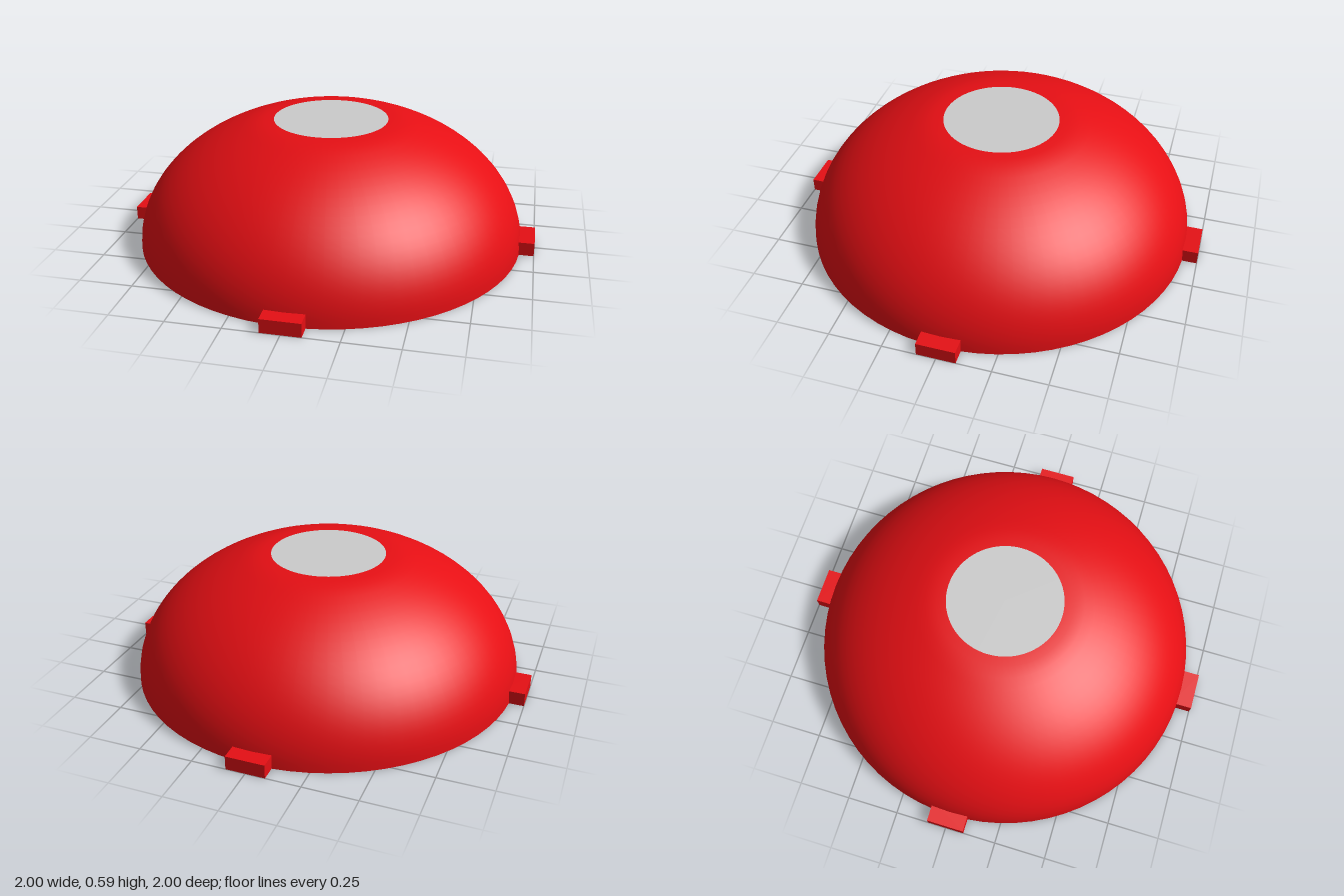
import * as THREE from 'three';

const R = 0.935, B = 0.63;          // dome ellipse half-axes
const DEPTH = 0.12;                 // depth of the recesses underneath
const TOP = 0.59, LENS_R = 0.274;

const domeRadius = (y) => R * Math.sqrt(1 - (y / B) ** 2);

// Points on an arc around the centre
function arc(r, from, to, n = 14) {
  return Array.from({ length: n + 1 }, (_, i) => {
    const a = from + (to - from) * i / n;
    return new THREE.Vector2(r * Math.cos(a), r * Math.sin(a));
  });
}

// Curved slot between two radii
function slot(r0, r1, mid, half) {
  return new THREE.Path([...arc(r0, mid - half, mid + half), ...arc(r1, mid + half, mid - half)]);
}

export function createModel() {
  const model = new THREE.Group();
  const red = new THREE.MeshStandardMaterial({ color: 0xe60f14 });
  const redShell = new THREE.MeshStandardMaterial({ color: 0xe60f14, side: THREE.DoubleSide });
  const grey = new THREE.MeshStandardMaterial({ color: 0xcccccc });

  const add = (name, geometry, material) => {
    const mesh = new THREE.Mesh(geometry, material);
    mesh.name = name;
    model.add(mesh);
    return mesh;
  };

  // Dome shell: elliptical side, softened shoulder, flat top
  const profile = [];
  const end = Math.acos(0.37 / R);
  for (let i = 0; i <= 20; i++) {
    const t = end * i / 20;
    profile.push(new THREE.Vector2(R * Math.cos(t), B * Math.sin(t)));
  }
  profile.push(new THREE.Vector2(0.32, 0.587), new THREE.Vector2(LENS_R, TOP));
  add('dome', new THREE.LatheGeometry(profile, 72), redShell);

  // Grey lens disc set flush in the top
  add('lens', new THREE.CircleGeometry(LENS_R, 72).rotateX(-Math.PI / 2).translate(0, TOP, 0), grey);

  // Base plate: four ribs reaching the rim, with wide pockets between them
  const ribHalf = THREE.MathUtils.degToRad(18);
  const slotHalf = THREE.MathUtils.degToRad(12);
  const outline = [], holes = [];
  for (let i = 0; i < 4; i++) {
    const a = i * Math.PI / 2, diagonal = a + Math.PI / 4;
    outline.push(...arc(R, a - ribHalf, a + ribHalf));
    outline.push(...arc(0.605, a + ribHalf, a + Math.PI / 2 - ribHalf));
    holes.push(slot(0.78, 0.82, a, slotHalf));                            // outer rib slots
    holes.push(slot(0.44, 0.475, a, slotHalf));                           // inner rib slots
    holes.push(slot(0.32, 0.38, diagonal, THREE.MathUtils.degToRad(33))); // ring slots
  }
  holes.push(new THREE.Path(arc(0.185, 0, Math.PI * 2, 48).slice(0, -1))); // centre hole
  const shape = new THREE.Shape(outline);
  shape.holes = holes;
  const plate = new THREE.ExtrudeGeometry(shape, { depth: DEPTH, bevelEnabled: false });
  plate.rotateX(-Math.PI / 2);

  // Lean the rib ends inward so they follow the dome
  const p = plate.attributes.position;
  for (let i = 0; i < p.count; i++) {
    if (Math.hypot(p.getX(i), p.getZ(i)) < 0.9) continue;
    const s = domeRadius(p.getY(i)) / R * 0.998;
    p.setX(i, p.getX(i) * s);
    p.setZ(i, p.getZ(i) * s);
  }
  plate.computeVertexNormals();
  add('basePlate', plate, red);

  // Ceiling of the pockets and slots
  add('pocketCeiling',
    new THREE.CircleGeometry(domeRadius(DEPTH), 72).rotateX(Math.PI / 2).translate(0, DEPTH, 0), red);

  // Four locking tabs on the rim
  for (let i = 0; i < 4; i++) {
    const tab = new THREE.BoxGeometry(0.1, 0.065, 0.18).translate(0.95, 0.0325, 0);
    add('rimTab', tab, red).rotation.y = i * Math.PI / 2;
  }
  return model;
}
